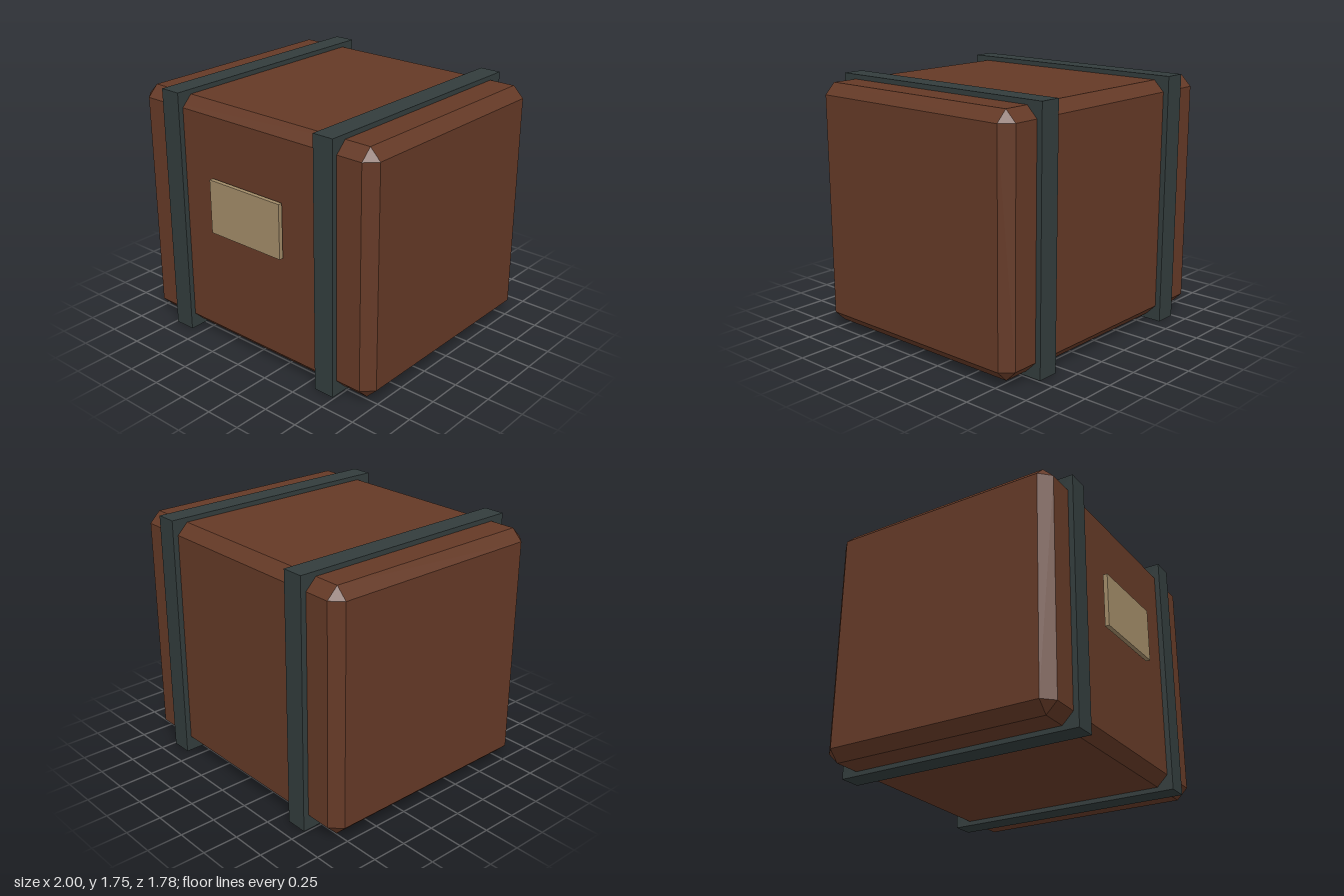
import * as THREE from 'three';
import { ConvexGeometry } from 'three/addons/geometries/ConvexGeometry.js';

function flatMaterial(name, color) {
  const m = new THREE.MeshStandardMaterial({ color });
  m.name = name;
  return m;
}

// Box with one flat bevel on every edge and a triangle on every corner
function bevelledBox(w, h, d, c) {
  const points = [];
  for (const x of [-w / 2, w / 2])
    for (const y of [-h / 2, h / 2])
      for (const z of [-d / 2, d / 2]) {
        const p = new THREE.Vector3(x, y, z);
        for (const axis of ['x', 'y', 'z']) {
          const q = p.clone();
          for (const other of ['x', 'y', 'z'])
            if (other !== axis) q[other] -= Math.sign(q[other]) * c;
          points.push(q);
        }
      }
  return new ConvexGeometry(points);
}

export function createModel() {
  const model = new THREE.Group();
  model.name = 'crate';
  const wood = flatMaterial('brown wood', 0x643926);
  const iron = flatMaterial('dark iron', 0x323c3c);
  const paper = flatMaterial('tan label', 0xa08a67);

  const add = (name, geometry, material, x, y, z) => {
    const mesh = new THREE.Mesh(geometry, material);
    mesh.name = name;
    mesh.position.set(x, y, z);
    model.add(mesh);
  };

  // Crate body
  add('crateBody', bevelledBox(2, 1.69, 1.692, 0.076), wood, 0, 0.877, -0.004);

  // Straps around the crate
  for (const [name, side] of [['leftStrap', 1], ['rightStrap', -1]])
    add(name, new THREE.BoxGeometry(0.152, 1.755, 1.768), iron, side * 0.661, 0.8775, -0.005);

  // Label plate standing just off the front
  add('labelPlate', new THREE.BoxGeometry(0.615, 0.38, 0.03), paper, -0.002, 1.035, 0.874);

  return model;
}
